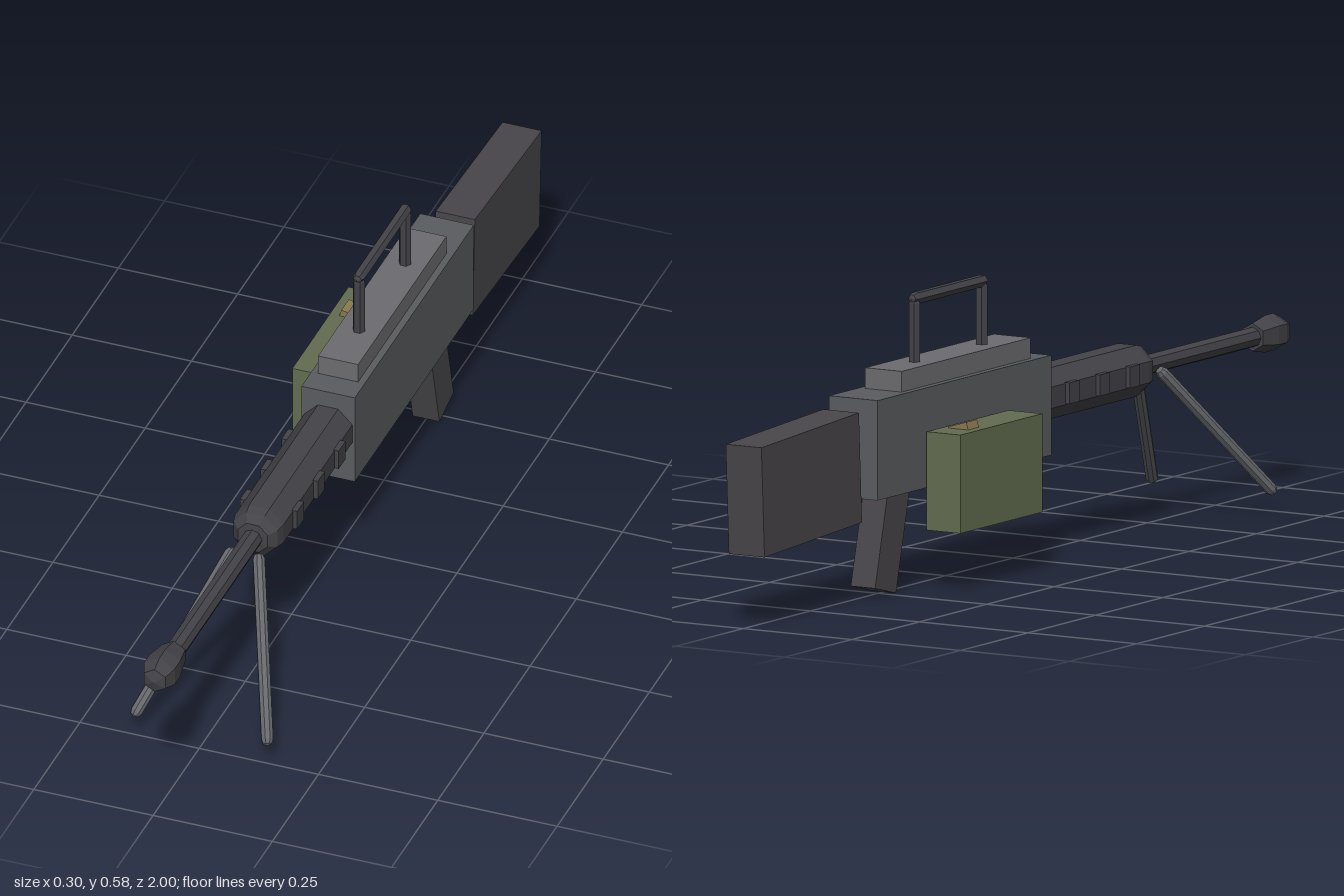
import * as THREE from 'three';

const mat = (color) => {
  const m = new THREE.MeshStandardMaterial({ color });
  m.flatShading = true;
  return m;
};

export function createModel() {
  const model = new THREE.Group();
  model.name = 'machineGun';
  const steel = mat(0x5a5c60), plate = mat(0x6c6c70), dark = mat(0x434348);
  const stockGrey = mat(0x48464a), legGrey = mat(0x66686c);
  const olive = mat(0x626c50), brass = mat(0x8c7850);
  const axisY = 0.314;

  const add = (name, geometry, material, x, y, z) => {
    const mesh = new THREE.Mesh(geometry, material);
    mesh.name = name;
    mesh.position.set(x, y, z);
    model.add(mesh);
    return mesh;
  };
  const box = (name, material, size, pos) =>
    add(name, new THREE.BoxGeometry(...size), material, ...pos);

  // Turned part along z; profile points are [radius, z], back to front
  const turned = (name, material, profile, sides, phase) => {
    const g = new THREE.LatheGeometry(profile.map(([r, z]) => new THREE.Vector2(r, z)), sides, phase);
    g.rotateX(Math.PI / 2);
    return add(name, g, material, 0, axisY, 0);
  };

  // Round-ended rod between two points
  const rod = (name, material, a, b, r, sides = 6) => {
    const from = new THREE.Vector3(...a), to = new THREE.Vector3(...b);
    const mesh = add(name, new THREE.CapsuleGeometry(r, from.distanceTo(to), 2, sides), material, 0, 0, 0);
    mesh.position.copy(from).add(to).multiplyScalar(0.5);
    mesh.quaternion.setFromUnitVectors(new THREE.Vector3(0, 1, 0), to.sub(from).normalize());
    return mesh;
  };

  // Receiver and top cover
  box('receiver', steel, [0.112, 0.198, 0.644], [0, 0.301, -0.27]);
  box('topCover', plate, [0.084, 0.042, 0.478], [0, 0.42, -0.241]);

  // Stock, dropping slightly to the rear
  box('stock', stockGrey, [0.082, 0.219, 0.362], [0, 0.262, -0.812]).rotation.x = -0.052;

  // Raked pistol grip
  box('grip', stockGrey, [0.056, 0.22, 0.08], [0, 0.117, -0.49]).rotation.x = 0.25;

  // Barrel sleeve, barrel and muzzle
  turned('barrelSleeve', dark, [[0, 0.03], [0.055, 0.03], [0.055, 0.425], [0.05, 0.445], [0.034, 0.46], [0, 0.464]], 8, Math.PI / 8);
  turned('barrel', dark, [[0, 0.42], [0.02, 0.42], [0.02, 0.92], [0, 0.92]], 8, 0);
  turned('muzzle', dark, [[0, 0.888], [0.028, 0.888], [0.037, 0.935], [0.037, 0.965], [0.026, 0.992], [0, 1]], 6, 0);

  // Cooling blocks on both sides of the sleeve
  for (const z of [0.131, 0.244, 0.356])
    for (const side of [-1, 1])
      box('sleeveBlock', dark, [0.024, 0.042, 0.037], [side * 0.048, 0.316, z]);

  // Carry handle
  for (const z of [-0.115, -0.365])
    rod('handlePost', dark, [0, 0.43, z], [0, 0.557, z], 0.0125);
  rod('handleBar', dark, [0, 0.566, -0.115], [0, 0.566, -0.365], 0.0125);

  // Bipod
  for (const side of [-1, 1])
    rod('bipodLeg', legGrey, [side * 0.03, 0.3, 0.505], [side * 0.137, 0.046, 0.736], 0.0125, 8);

  // Ammunition box and belt on the right
  box('ammoBox', olive, [0.078, 0.195, 0.304], [-0.101, 0.2175, -0.268]);
  box('beltLink', brass, [0.043, 0.018, 0.04], [-0.098, 0.315, -0.34]).rotation.z = -0.3;
  box('beltLink', brass, [0.043, 0.018, 0.04], [-0.064, 0.277, -0.3]).rotation.z = -0.6;

  return model;
}
